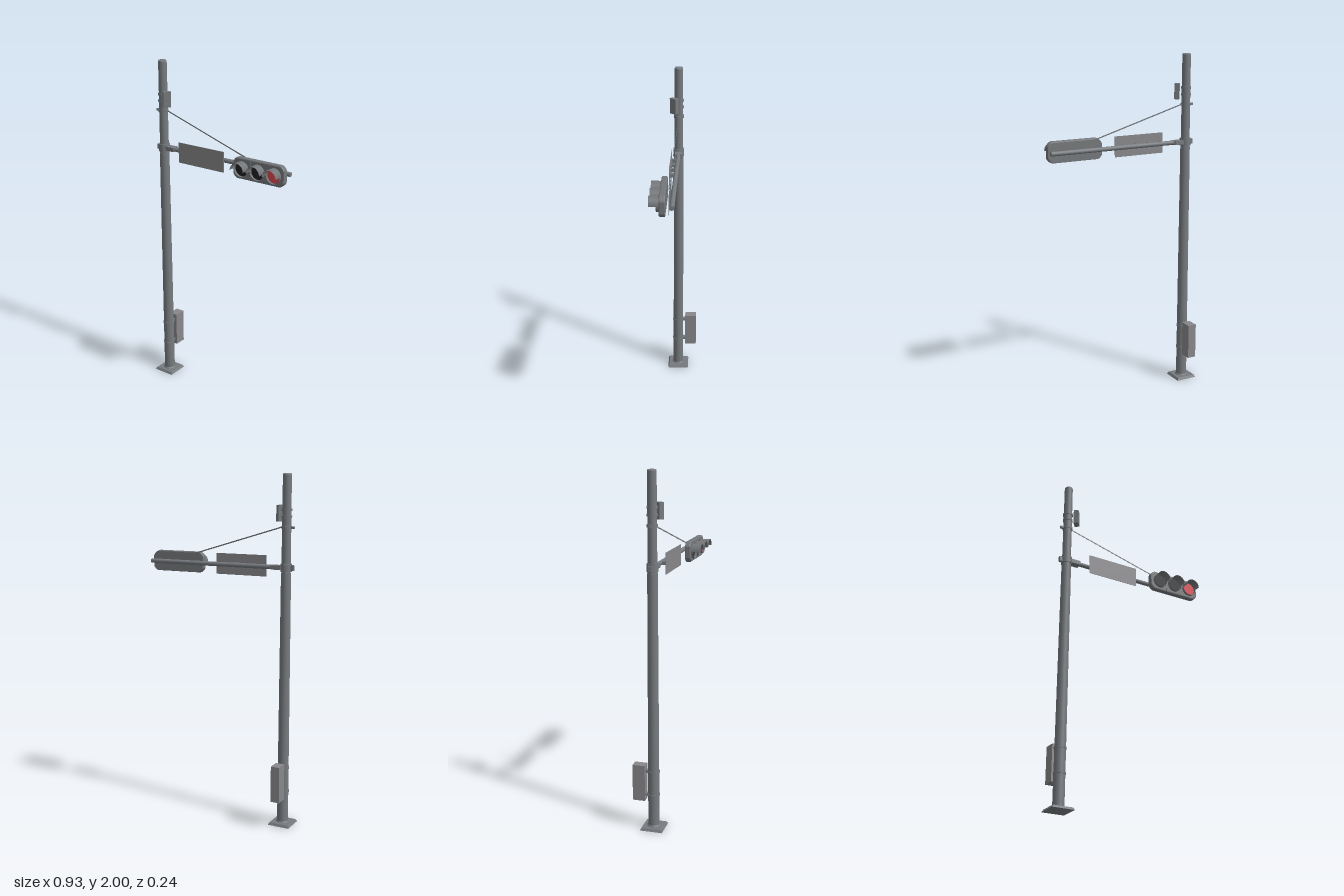
import * as THREE from 'three';

const mat = (name, color, side = THREE.FrontSide) => {
  const m = new THREE.MeshStandardMaterial({ color, side });
  m.name = name;
  return m;
};

export function createModel() {
  const root = new THREE.Group();
  const steel = mat('steel grey', 0x777b7f, THREE.DoubleSide);
  const sheet = mat('sheet grey', 0x88888b, THREE.DoubleSide);
  const casing = mat('housing grey', 0x74777a, THREE.DoubleSide);
  const back = mat('back cover grey', 0x74777a);
  const black = mat('unlit lens black', 0x1d2022);
  const red = mat('lit lens red', 0xdc4850);

  const add = (name, geo, m, x = 0, y = 0, z = 0, parent = root) => {
    const mesh = new THREE.Mesh(geo, m);
    mesh.name = name;
    mesh.position.set(x, y, z);
    parent.add(mesh);
    return mesh;
  };
  const box = (w, h, d) => new THREE.BoxGeometry(w, h, d);
  const PX = -0.405, PZ = -0.004, ARM_Y = 1.49;

  // Square base plate with sloped edges
  const plate = new THREE.CylinderGeometry(0.057 * Math.SQRT2, 0.065 * Math.SQRT2, 0.014, 4).toNonIndexed();
  plate.rotateY(Math.PI / 4);
  plate.computeVertexNormals();
  add('basePlate', plate, steel, PX, 0.007, PZ);

  // Tapered pole with a narrower upper section
  const pole = [[0, 0.01], [0.038, 0.01], [0.038, 0.016], [0.032, 0.022], [0.032, 0.022], [0.028, 1.46], [0.028, 1.46],
    [0.026, 1.46], [0.026, 1.46], [0.0245, 1.994], [0.0245, 1.994], [0.022, 2], [0, 2]];
  add('pole', new THREE.LatheGeometry(pole.map(p => new THREE.Vector2(...p)), 24), steel, PX, 0, PZ);

  // Straps and clamps around the pole
  const band = (name, y, r, h) => add(name, new THREE.CylinderGeometry(r, r, h, 24), steel, PX, y, PZ);
  for (const y of [0.2, 0.34]) {
    band('cabinetStrap', y, 0.0345, 0.011);
    add('cabinetBracket', box(0.028, 0.014, 0.03), steel, PX, y, PZ - 0.036);
  }
  for (const y of [1.767, 1.806]) band('detectorStrap', y, 0.0295, 0.013);
  band('cableClamp', 1.71, 0.0295, 0.016);
  band('armClamp', ARM_Y, 0.032, 0.044);
  add('cableClampLug', box(0.022, 0.013, 0.014), steel, PX - 0.036, 1.71, PZ);
  add('armClampLug', box(0.022, 0.03, 0.018), steel, PX - 0.036, ARM_Y, PZ);

  // Control cabinet behind the pole
  add('controlCabinet', box(0.052, 0.21, 0.071), sheet, PX, 0.27, -0.084);

  // Small detector box turned diagonally outward
  const detector = add('detectorBox', box(0.028, 0.09, 0.044), steel, -0.359, 1.785, 0.021);
  detector.rotation.y = -0.66;

  // Horizontal arm and its mounting block
  const arm = add('arm', new THREE.CylinderGeometry(0.013, 0.013, 0.85, 16), steel, 0.038, ARM_Y, PZ);
  arm.rotation.z = Math.PI / 2;
  add('armMount', box(0.058, 0.024, 0.044), steel, -0.351, ARM_Y, -0.006);

  // Flat stay cable from the pole down to the signal
  const cableStart = new THREE.Vector3(-0.38, 1.712, -0.006);
  const cableEnd = new THREE.Vector3(0.35, 1.492, 0.028);
  const run = cableEnd.clone().sub(cableStart);
  const mid = cableStart.clone().add(cableEnd).multiplyScalar(0.5);
  const cable = add('stayCable', box(run.length(), 0.007, 0.001), steel, mid.x, mid.y, mid.z);
  cable.quaternion.setFromUnitVectors(new THREE.Vector3(1, 0, 0), run.normalize());

  // Sign panel and its clips
  add('signPanel', box(0.318, 0.12, 0.002), sheet, -0.111, ARM_Y, 0.031);
  for (let i = 0; i < 4; i++) add('signClip', box(0.02, 0.02, 0.024), steel, -0.25 + i * 0.08, ARM_Y, 0.019);

  // Signal head
  const head = new THREE.Group();
  head.name = 'signalHead';
  head.position.set(0.299, ARM_Y, 0);
  root.add(head);

  // Outline with cut and softened corners
  const outline = (w, h, c) => {
    const s = new THREE.Shape();
    s.moveTo(-w + c, -h);
    s.lineTo(w - c, -h);
    s.quadraticCurveTo(w - c * 0.3, -h + c * 0.3, w, -h + c);
    s.lineTo(w, h - c);
    s.quadraticCurveTo(w - c * 0.3, h - c * 0.3, w - c, h);
    s.lineTo(-w + c, h);
    s.quadraticCurveTo(-w + c * 0.3, h - c * 0.3, -w, h - c);
    s.lineTo(-w, -h + c);
    s.quadraticCurveTo(-w + c * 0.3, -h + c * 0.3, -w + c, -h);
    return s;
  };
  const body = new THREE.ExtrudeGeometry(outline(0.158, 0.053, 0.022), {
    depth: 0.022, bevelEnabled: true, bevelThickness: 0.006, bevelSize: 0.007, bevelSegments: 2, curveSegments: 5,
  });
  add('signalHousing', body, casing, 0, 0, 0.037, head);
  const cover = add('backCover', new THREE.ShapeGeometry(outline(0.16, 0.056, 0.025), 5), back, 0, 0, 0.014, head);
  cover.rotation.y = Math.PI;

  // Lenses, each under a hood that is long above and short below
  const hood = (name, length, start, sweep, x) => {
    const g = new THREE.CylinderGeometry(0.043, 0.043, length, 20, 1, true, start, sweep);
    g.rotateX(Math.PI / 2);
    add(name, g, casing, x, 0, 0.06 + length / 2, head);
  };
  for (let i = 0; i < 3; i++) {
    const x = (i - 1) * 0.104;
    add('lens', new THREE.CircleGeometry(0.0415, 28), i === 2 ? red : black, x, 0, 0.067, head);
    hood('hoodTop', 0.06, Math.PI / 2, Math.PI, x);
    hood('hoodBottom', 0.02, -Math.PI / 2, Math.PI, x);
    // Seams between the three sections
    if (i < 2) add('sectionSeam', box(0.004, 0.112, 0.004), casing, x + 0.052, 0, 0.064, head);
  }
  return root;
}
